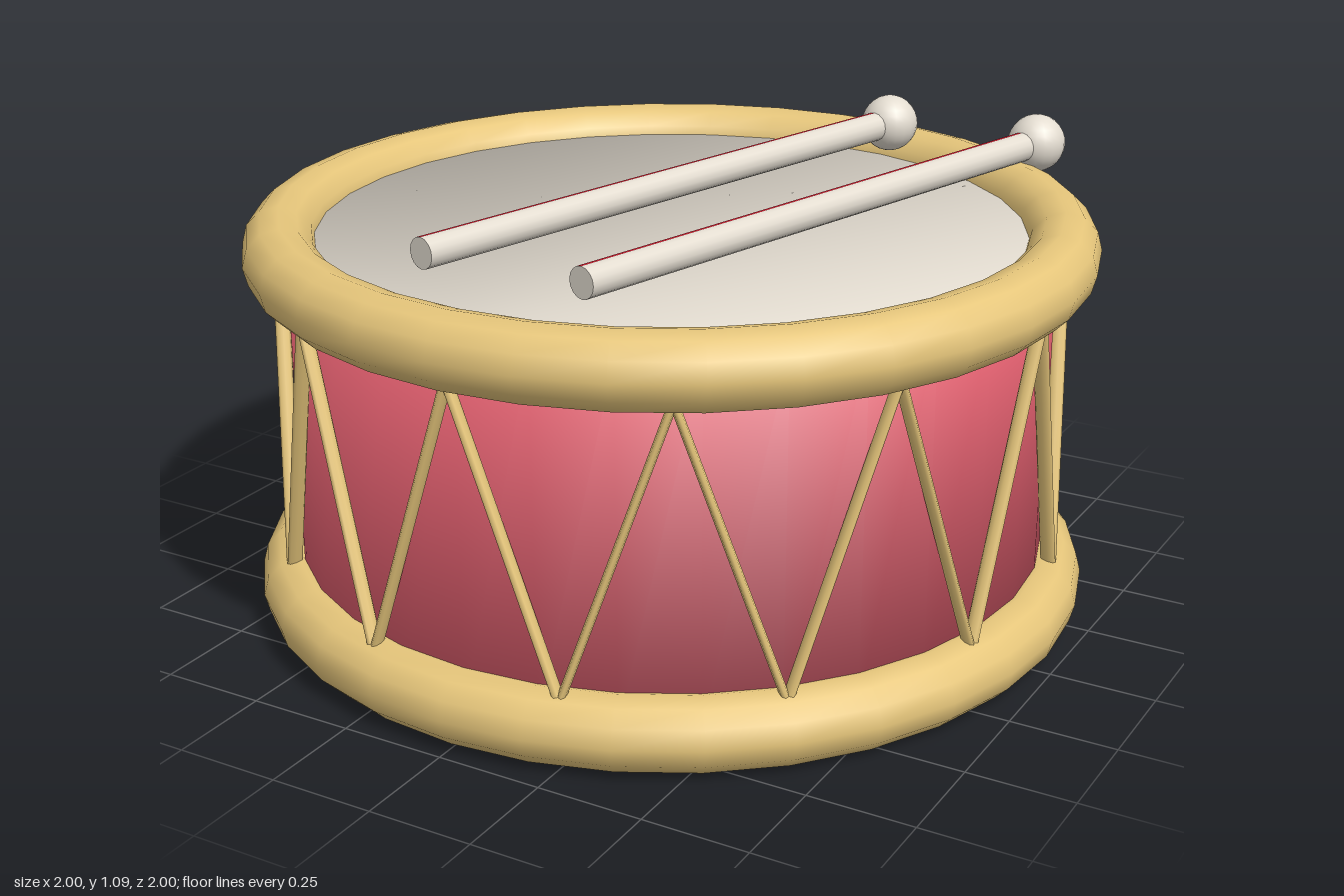
import * as THREE from 'three';

const mat = (name, color) => {
  const m = new THREE.MeshStandardMaterial({ color });
  m.name = name;
  return m;
};

// Closed drum body: wall, head and base share soft 45 degree rim normals
function drumBody(radius, y0, y1, n) {
  const pos = [], nor = [], wall = [], head = [], base = [];
  for (let i = 0; i < n; i++) {
    const a = (i / n) * Math.PI * 2, s = Math.sin(a), c = Math.cos(a);
    pos.push(radius * s, y0, radius * c, radius * s, y1, radius * c);
    nor.push(s * Math.SQRT1_2, -Math.SQRT1_2, c * Math.SQRT1_2);
    nor.push(s * Math.SQRT1_2, Math.SQRT1_2, c * Math.SQRT1_2);
    const b = 2 * i, t = b + 1, b2 = 2 * ((i + 1) % n), t2 = b2 + 1;
    wall.push(b, b2, t2, b, t2, t);
    if (i > 0 && i < n - 1) {
      head.push(1, t, t2);
      base.push(0, b2, b);
    }
  }
  const g = new THREE.BufferGeometry();
  g.setAttribute('position', new THREE.Float32BufferAttribute(pos, 3));
  g.setAttribute('normal', new THREE.Float32BufferAttribute(nor, 3));
  g.setIndex([...wall, ...base, ...head]);
  g.addGroup(0, wall.length + base.length, 0);
  g.addGroup(wall.length + base.length, head.length, 1);
  return g;
}

export function createModel() {
  const pink = mat('pink shell', 0xe86272);
  const cream = mat('cream skin', 0xe4ddd1);
  const gold = mat('gold trim', 0xe6c67b);
  const red = mat('red paint', 0xc41a2b);

  const model = new THREE.Group();
  model.name = 'drum';
  const add = (parent, name, geometry, material) => {
    const mesh = new THREE.Mesh(geometry, material);
    mesh.name = name;
    parent.add(mesh);
    return mesh;
  };

  add(model, 'drumBody', drumBody(0.9, 0.085, 0.925, 32), [pink, cream]);

  // Rounded hoops
  const hoop = new THREE.TorusGeometry(0.9135, 0.0865, 12, 32).rotateX(Math.PI / 2);
  add(model, 'bottomHoop', hoop, gold).position.y = 0.0885;
  add(model, 'topHoop', hoop, gold).position.y = 0.903;

  // Zigzag cords: twelve peaks at the top hoop, twelve valleys at the bottom one
  const cords = new THREE.Group();
  cords.name = 'cords';
  model.add(cords);
  const at = (k) => {
    const a = (k * Math.PI) / 12, top = k % 2 === 0;
    return new THREE.Vector3(Math.sin(a) * 0.925, top ? 0.84 : 0.15, Math.cos(a) * 0.925);
  };
  for (let k = 0; k < 24; k++) {
    const p = at(k), q = at(k + 1);
    const dir = q.clone().sub(p), length = dir.length();
    const mid = p.clone().add(q).multiplyScalar(0.5);
    dir.normalize();
    const side = dir.clone().cross(new THREE.Vector3(mid.x, 0, mid.z)).normalize();
    const out = side.clone().cross(dir);
    const g = new THREE.CylinderGeometry(0.5, 0.5, length, 8);
    g.scale(0.02, 1, 0.036);
    g.applyMatrix4(new THREE.Matrix4().makeBasis(side, dir, out).setPosition(mid));
    add(cords, 'cord', g, gold);
  }

  // Two sticks, each half cream and half red, with a cream butt and a round tip
  const r = 0.036, length = 1.55;
  const half = (start) =>
    new THREE.CylinderGeometry(r, r, length, 8, 1, true, start, Math.PI).rotateX(-Math.PI / 2);
  for (const x of [0.002, 0.402]) {
    const stick = new THREE.Group();
    stick.name = 'drumstick';
    stick.position.set(x, 1.024, -0.025);
    stick.rotation.y = -0.261;
    add(stick, 'creamHalf', half(0), cream);
    add(stick, 'redHalf', half(Math.PI), red);
    add(stick, 'butt', new THREE.CircleGeometry(r, 16), cream).position.z = length / 2;
    add(stick, 'tip', new THREE.SphereGeometry(0.071, 20, 14), cream).position.z = -0.778;
    model.add(stick);
  }
  return model;
}
